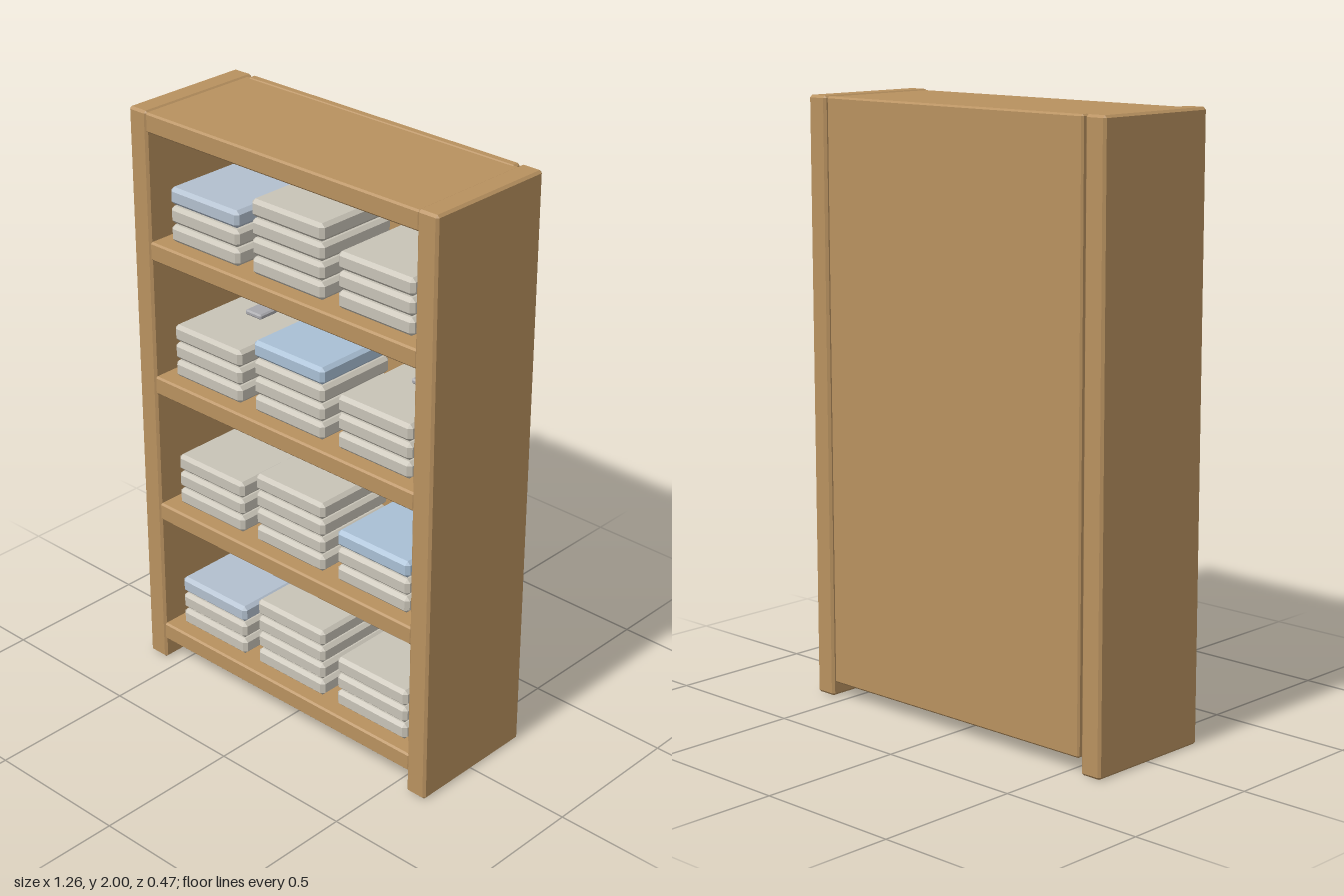
import * as THREE from 'three';
import { ConvexGeometry } from 'three/addons/geometries/ConvexGeometry.js';

const material = (name, color) => {
  const m = new THREE.MeshStandardMaterial({ color });
  m.name = name;
  return m;
};

// Box with all twelve edges chamfered by b
function chamferBox(w, h, d, b) {
  const points = [];
  for (const x of [-1, 1]) for (const y of [-1, 1]) for (const z of [-1, 1]) {
    const [W, H, D] = [w / 2, h / 2, d / 2];
    points.push(
      new THREE.Vector3(x * W, y * (H - b), z * (D - b)),
      new THREE.Vector3(x * (W - b), y * H, z * (D - b)),
      new THREE.Vector3(x * (W - b), y * (H - b), z * D)
    );
  }
  return new ConvexGeometry(points);
}

export function createModel() {
  const model = new THREE.Group();
  model.name = 'stockedShelf';
  const wood = material('wood', 0xb8915f);
  const linen = material('linen', 0xc8c3b7);
  const paleBlue = material('paleBlue', 0xb2bfce);
  const blue = material('blue', 0xa9bfd4);
  const grey = material('grey', 0xa8a8ac);

  // Adds a chamfered box given by its limits on each axis
  function board(name, parent, mat, [x0, x1], [y0, y1], [z0, z1], bevel) {
    const mesh = new THREE.Mesh(chamferBox(x1 - x0, y1 - y0, z1 - z0, bevel), mat);
    mesh.position.set((x0 + x1) / 2, (y0 + y1) / 2, (z0 + z1) / 2);
    mesh.name = name;
    parent.add(mesh);
  }

  // Cabinet frame
  board('leftSide', model, wood, [0.553, 0.63], [0, 2], [-0.233, 0.233], 0.008);
  board('rightSide', model, wood, [-0.63, -0.553], [0, 2], [-0.233, 0.233], 0.008);
  board('topBoard', model, wood, [-0.56, 0.56], [1.93, 1.996], [-0.215, 0.23], 0.006);
  board('backPanel', model, wood, [-0.545, 0.545], [0.05, 1.999], [-0.233, -0.2], 0.006);

  // Shelves with three stacks of folded cloth each
  const topColours = [
    [paleBlue, linen, linen],
    [linen, linen, blue],
    [linen, blue, linen],
    [paleBlue, linen, linen]
  ];
  const pitch = 0.0635;
  topColours.forEach((colours, row) => {
    const shelfTop = 0.14 + row * 0.4745;
    board('shelf', model, wood, [-0.56, 0.56], [shelfTop - 0.064, shelfTop], [-0.215, 0.23], 0.006);

    colours.forEach((topColour, column) => {
      const x = (column - 1) * 0.357;
      const count = column === 1 ? 4 : 3;
      const stack = new THREE.Group();
      stack.name = 'foldedStack';
      stack.position.set(x, shelfTop + 0.005, 0.035);
      for (let i = 0; i < count; i++) {
        board('foldedCloth', stack, i === count - 1 ? topColour : linen,
          [-0.15, 0.15], [i * pitch, i * pitch + 0.058], [-0.155, 0.155], 0.012);
      }
      // Small tags on the third row of stacks
      if (row === 2) {
        const y = (count - 1) * pitch + 0.058;
        board('tag', stack, grey, [-0.035, 0.035], [y, y + 0.018], [-0.135, -0.055], 0.005);
      }
      model.add(stack);
    });
  });
  return model;
}
